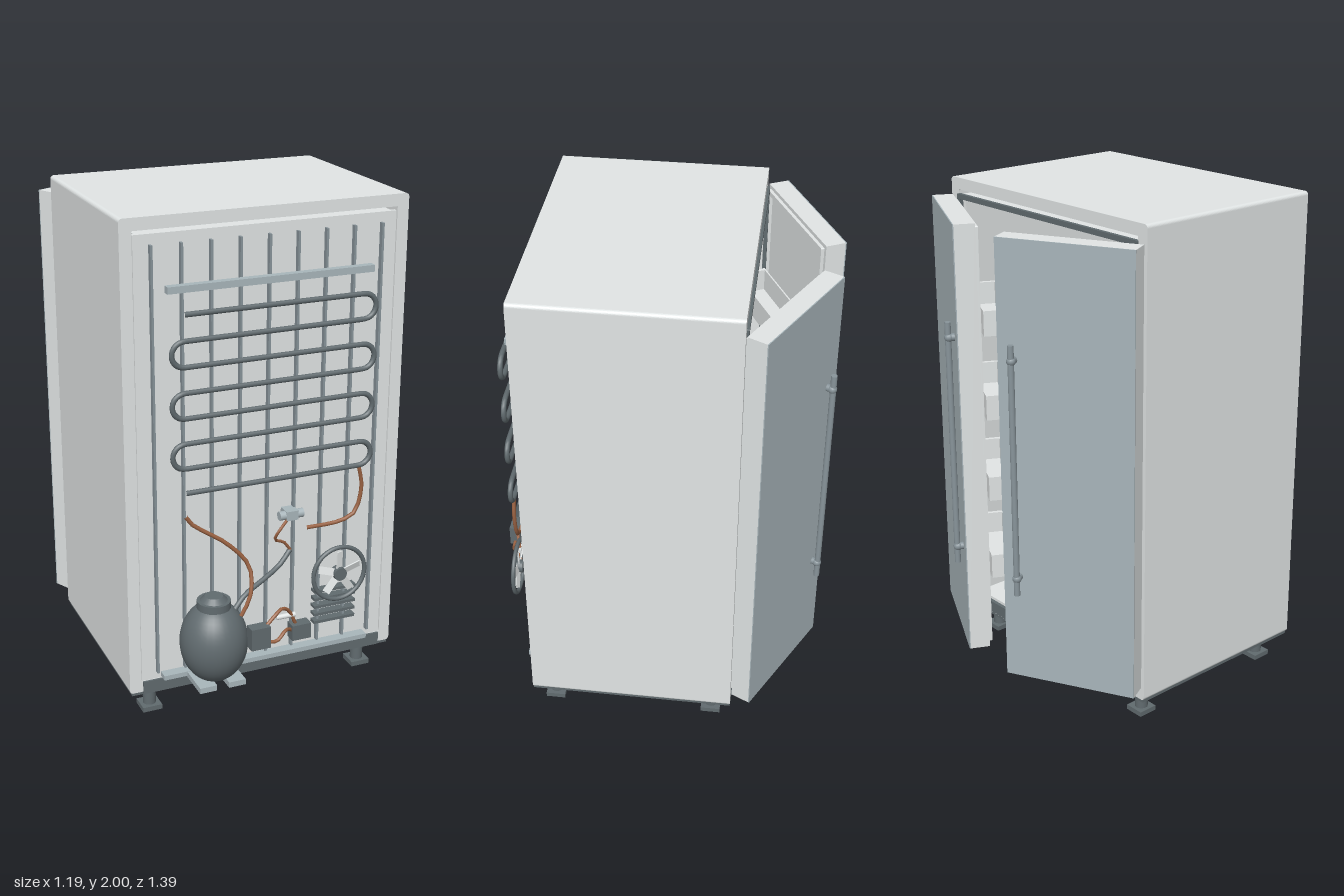
import * as THREE from 'three';

const mat = (name, color) => Object.assign(new THREE.MeshStandardMaterial({ color }), { name });

export function createModel() {
  const model = new THREE.Group();
  model.name = 'refrigerator';
  const shellGrey = mat('shell grey', 0xe1e5e5);
  const steel = mat('door steel', 0xa9b6bb);
  const trim = mat('trim grey', 0x88949a);
  const darkSteel = mat('dark steel', 0x616b6f);
  const copper = mat('copper', 0x9a6242);
  const white = mat('interior white', 0xe8ebeb);

  const add = (name, geo, material, x = 0, y = 0, z = 0, parent = model) => {
    const m = new THREE.Mesh(geo, material);
    m.name = name;
    m.position.set(x, y, z);
    parent.add(m);
    return m;
  };
  // Box given by its limits on each axis
  const box = (name, material, x0, x1, y0, y1, z0, z1, parent = model) =>
    add(name, new THREE.BoxGeometry(Math.abs(x1 - x0), y1 - y0, z1 - z0), material,
      (x0 + x1) / 2, (y0 + y1) / 2, (z0 + z1) / 2, parent);
  const cyl = (name, material, r, h, x, y, z, parent = model, r2 = r) =>
    add(name, new THREE.CylinderGeometry(r, r2, h, 20), material, x, y, z, parent);
  const pipe = (name, material, r, pts) => {
    const curve = new THREE.CatmullRomCurve3(pts.map(p => new THREE.Vector3(...p)), false, 'centripetal');
    return add(name, new THREE.TubeGeometry(curve, pts.length * 2, r, 8), material);
  };
  const roundRect = (Type, x0, x1, y0, y1, r) => {
    const s = new Type();
    s.moveTo(x0 + r, y0);
    s.lineTo(x1 - r, y0);
    s.absarc(x1 - r, y0 + r, r, -Math.PI / 2, 0);
    s.lineTo(x1, y1 - r);
    s.absarc(x1 - r, y1 - r, r, 0, Math.PI / 2);
    s.lineTo(x0 + r, y1);
    s.absarc(x0 + r, y1 - r, r, Math.PI / 2, Math.PI);
    s.lineTo(x0, y0 + r);
    s.absarc(x0 + r, y0 + r, r, Math.PI, Math.PI * 1.5);
    return s;
  };
  // Rectangular ring extruded along z
  const ring = (name, material, [x0, x1, y0, y1], t, r, z0, z1, parent = model) => {
    const s = roundRect(THREE.Shape, x0, x1, y0, y1, r);
    s.holes.push(roundRect(THREE.Path, x0 + t, x1 - t, y0 + t, y1 - t, r * 0.3));
    return add(name, new THREE.ExtrudeGeometry(s, { depth: z1 - z0, bevelEnabled: false, curveSegments: 4 }),
      material, 0, 0, z0, parent);
  };

  // Cabinet: outer shell, then a liner held inside with a narrow gap
  ring('outerShell', shellGrey, [-0.569, 0.569, 0.122, 2], 0.047, 0.014, -0.366, 0.46);
  ring('liner', shellGrey, [-0.506, 0.506, 0.172, 1.938], 0.02, 0.004, -0.36, 0.455);
  box('rearPanel', shellGrey, -0.519, 0.519, 0.15, 1.938, 0.44, 0.458);
  box('basePlate', darkSteel, -0.56, 0.56, 0.11, 0.128, -0.364, 0.458);
  box('rearBaseRail', darkSteel, -0.515, 0.515, 0.115, 0.168, 0.44, 0.468);
  box('doorSideRail', darkSteel, -0.515, 0.515, 0.128, 0.175, -0.372, -0.35);
  ring('openingGasket', darkSteel, [-0.525, 0.525, 0.16, 1.938], 0.02, 0.004, -0.375, -0.36);

  // Adjustable feet
  for (const x of [-0.463, 0.463]) for (const z of [0.38, -0.28]) {
    box('footPad', darkSteel, x - 0.04, x + 0.04, 0, 0.02, z - 0.04, z + 0.04);
    cyl('footStem', darkSteel, 0.026, 0.1, x, 0.065, z);
  }

  // Interior shelves, drawers and lamp
  for (const y of [0.68, 0.98, 1.28, 1.58]) {
    box('shelf', white, -0.486, 0.486, y, y + 0.012, -0.1, 0.44);
    box('shelfEdge', steel, -0.486, 0.486, y - 0.008, y + 0.02, -0.112, -0.1);
  }
  for (const s of [-1, 1]) {
    box('drawer', white, s * 0.02, s * 0.47, 0.21, 0.42, -0.12, 0.42);
    box('drawerHandle', steel, s * 0.15, s * 0.34, 0.36, 0.38, -0.14, -0.12);
  }
  box('drawerCover', white, -0.486, 0.486, 0.44, 0.452, -0.12, 0.44);
  box('lampHousing', white, -0.12, 0.12, 1.87, 1.918, -0.1, 0.1);

  // Two doors swung open, each hinged at an outer corner
  for (const s of [-1, 1]) {
    const door = new THREE.Group();
    door.name = s < 0 ? 'rightDoor' : 'leftDoor';
    door.position.set(s * 0.559, 0, -0.371);
    door.rotation.y = -s * 0.472;
    model.add(door);
    const part = (name, m, u0, u1, y0, y1, z0, z1) => box(name, m, -s * u0, -s * u1, y0, y1, z0, z1, door);
    part('doorBody', shellGrey, 0, 0.531, 0.18, 1.93, -0.079, 0);
    part('doorFace', steel, 0, 0.531, 0.18, 1.93, -0.083, -0.079);
    const limits = [-s * 0.015, -s * 0.516].sort((a, b) => a - b);
    ring('doorGasket', shellGrey, [...limits, 0.195, 1.915], 0.02, 0.004, 0, 0.013, door);
    // Open-topped door bins
    for (const y of [0.46, 0.8, 1.14, 1.48]) {
      part('binFloor', shellGrey, 0.055, 0.477, y, y + 0.01, 0.028, 0.152);
      part('binFront', shellGrey, 0.055, 0.477, y, y + 0.1, 0.144, 0.152);
      part('binBack', shellGrey, 0.055, 0.477, y, y + 0.1, 0.028, 0.034);
      for (const u of [0.055, 0.461]) part('binEnd', shellGrey, u, u + 0.016, y, y + 0.1, 0.034, 0.144);
    }
    // Bar handle on two posts
    cyl('handleBar', trim, 0.012, 1, -s * 0.467, 1.046, -0.107, door);
    for (const y of [0.615, 1.485]) {
      cyl('handlePost', trim, 0.015, 0.026, -s * 0.467, y, -0.094, door).rotation.x = Math.PI / 2;
      add('handleCollar', new THREE.SphereGeometry(0.018, 14, 10), trim, -s * 0.467, y, -0.104, door);
    }
  }

  // Rear panel ribs and condenser mounting rail
  for (let i = 0; i < 9; i++) {
    const x = -0.456 + i * 0.114;
    box('rearRib', trim, x - 0.0045, x + 0.0045, 0.2, 1.9, 0.456, 0.478);
  }
  box('condenserRail', steel, -0.41, 0.41, 1.727, 1.753, 0.478, 0.508);

  // Serpentine condenser coil
  const coil = new THREE.CurvePath();
  const gap = 0.098, zc = 0.533;
  for (let i = 0; i < 8; i++) {
    const d = i % 2 ? -1 : 1, y = 1.655 - i * gap, e = 0.358;
    const v = (x, yy) => new THREE.Vector3(x, yy, zc);
    coil.add(new THREE.LineCurve3(v(-d * e, y), v(d * e, y)));
    if (i === 7) break;
    const bend = [];
    for (let k = 0; k <= 8; k++) {
      const a = Math.PI * k / 8;
      bend.push(v(d * (e + Math.sin(a) * gap / 2), y - gap / 2 + Math.cos(a) * gap / 2));
    }
    coil.add(new THREE.CatmullRomCurve3(bend));
  }
  add('condenserCoil', new THREE.TubeGeometry(coil, 520, 0.0105, 8), darkSteel);

  // Compressor with cap and mounting tabs
  const egg = add('compressor', new THREE.SphereGeometry(1, 32, 24), darkSteel, -0.258, 0.348, 0.56);
  egg.scale.set(0.133, 0.166, 0.133);
  cyl('compressorCollar', darkSteel, 0.066, 0.035, -0.258, 0.505, 0.56);
  cyl('compressorCap', darkSteel, 0.035, 0.02, -0.258, 0.531, 0.56, model, 0.055);
  box('compressorRail', steel, -0.44, 0.44, 0.176, 0.195, 0.458, 0.5);
  for (const x of [-0.31, -0.19]) box('compressorTab', steel, x - 0.035, x + 0.035, 0.17, 0.193, 0.48, 0.635);

  // Electrical boxes and relay
  box('terminalBox', darkSteel, -0.15, -0.07, 0.335, 0.425, 0.63, 0.677);
  box('relayBox', darkSteel, 0.045, 0.125, 0.312, 0.376, 0.58, 0.627);
  cyl('capacitor', shellGrey, 0.01, 0.08, 0.025, 0.415, 0.602).rotation.z = Math.PI / 2;
  pipe('upperWire', copper, 0.007, [[-0.075, 0.42, 0.65], [-0.03, 0.455, 0.64], [0, 0.463, 0.625], [0.035, 0.44, 0.61], [0.07, 0.37, 0.6]]);
  pipe('lowerWire', copper, 0.007, [[-0.075, 0.35, 0.655], [-0.035, 0.345, 0.655], [0.005, 0.37, 0.64], [0.03, 0.365, 0.62], [0.06, 0.345, 0.605]]);

  // Refrigerant lines and filter drier
  pipe('dischargeLine', copper, 0.008, [[-0.36, 0.875, 0.533], [-0.335, 0.84, 0.535], [-0.2, 0.745, 0.56], [-0.12, 0.645, 0.58], [-0.13, 0.54, 0.615], [-0.17, 0.465, 0.62]]);
  pipe('condenserOutlet', copper, 0.008, [[0.358, 0.97, 0.533], [0.375, 0.88, 0.533], [0.345, 0.77, 0.533], [0.28, 0.745, 0.533], [0.14, 0.742, 0.533]]);
  pipe('suctionLine', darkSteel, 0.01, [[-0.19, 0.46, 0.58], [-0.13, 0.515, 0.56], [-0.04, 0.55, 0.53], [0.045, 0.585, 0.5], [0.095, 0.635, 0.485]]);
  pipe('capillaryTube', copper, 0.006, [[0.095, 0.635, 0.487], [0.065, 0.675, 0.49], [0.02, 0.7, 0.505], [0.03, 0.745, 0.525], [0.085, 0.785, 0.5]]);
  cyl('filterDrier', steel, 0.018, 0.1, 0.09, 0.792, 0.497).rotation.z = Math.PI / 2;
  box('drierClip', steel, 0.065, 0.115, 0.773, 0.811, 0.458, 0.515);

  // Condenser fan with five blades
  const fan = new THREE.Group();
  fan.name = 'fan';
  fan.position.set(0.277, 0.53, 0.556);
  model.add(fan);
  add('fanRing', new THREE.TorusGeometry(0.112, 0.009, 8, 40), darkSteel, 0, 0, 0, fan);
  cyl('fanHub', darkSteel, 0.027, 0.036, 0, 0, -0.002, fan).rotation.x = Math.PI / 2;
  for (let i = 0; i < 5; i++) {
    const arm = new THREE.Group();
    arm.name = 'fanBlade';
    arm.rotation.z = i * Math.PI * 0.4 + 0.3;
    fan.add(arm);
    add('blade', new THREE.BoxGeometry(0.07, 0.03, 0.005), shellGrey, 0.058, 0, 0, arm).rotation.x = 0.35;
  }

  // Vent slats under the fan
  for (let i = 0; i < 5; i++) {
    const y = 0.29 + i * 0.034;
    box('ventSlat', darkSteel, 0.205, 0.387, y - 0.006, y + 0.006, 0.456, 0.492);
  }
  return model;
}
